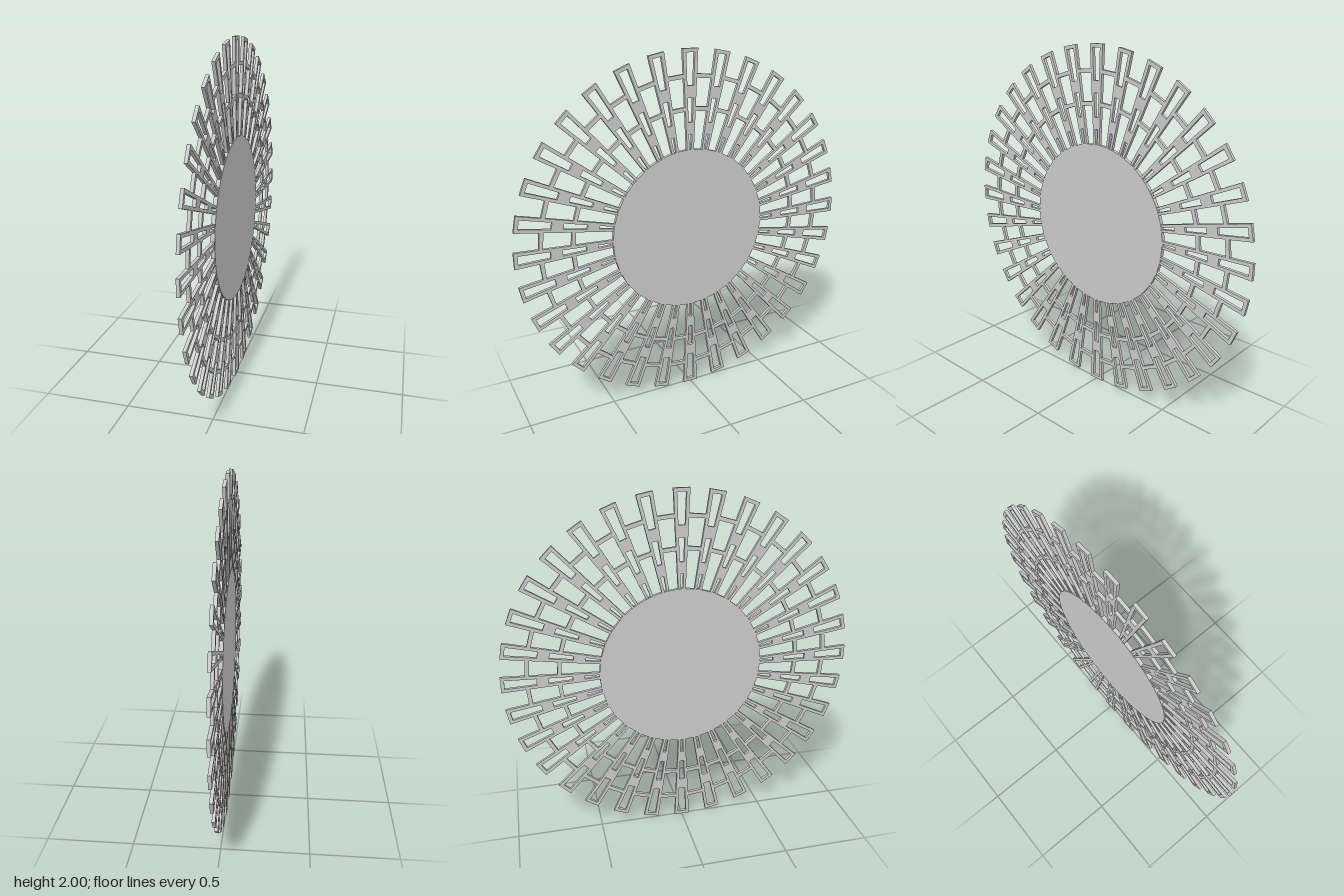
import * as THREE from 'three';

const ARMS = 32;
const STEP = (Math.PI * 2) / ARMS;
const ARM_DEPTH = 0.018;
const DISC_DEPTH = 0.022;
const DISC_RADIUS = 0.466;

const lerp = THREE.MathUtils.lerp;
const along = (r) => (r - 0.47) / 0.53;
// Half width of an arm, and of the slots in it, at radius r
const armHalf = (r) => lerp(0.021, 0.045, along(r));
const slotHalf = (r) => lerp(0.006, 0.026, along(r));

const taper = (half, r0, r1) => [
  [-half(r0), r0], [half(r0), r0], [half(r1), r1], [-half(r1), r1],
].map(([x, y]) => new THREE.Vector2(x, y));

// Extrudes a radial shape and turns it to face sideways, centred on x = 0
function plate(shape) {
  const geometry = new THREE.ExtrudeGeometry(shape, { depth: ARM_DEPTH, bevelEnabled: false });
  geometry.translate(0, 0, -ARM_DEPTH / 2);
  geometry.rotateY(Math.PI / 2);
  return geometry;
}

// Tapered arm with three slots
function armGeometry() {
  const shape = new THREE.Shape(taper(armHalf, 0.455, 1));
  for (const [r0, r1] of [[0.468, 0.55], [0.615, 0.745], [0.81, 0.98]]) {
    shape.holes.push(new THREE.Path(taper(slotHalf, r0, r1)));
  }
  return plate(shape);
}

// Bar filling the gap between the facing edges of two neighbouring arms
function barGeometry(r0, r1) {
  const edge = (r, side) => new THREE.Vector2(-side * armHalf(r), r)
    .rotateAround(new THREE.Vector2(), -side * STEP / 2);
  return plate(new THREE.Shape([edge(r0, -1), edge(r0, 1), edge(r1, 1), edge(r1, -1)]));
}

export function createModel() {
  const model = new THREE.Group();
  model.name = 'sunburstWallMirror';
  const material = new THREE.MeshStandardMaterial({ color: 0xcccccc });

  const body = new THREE.Group();
  body.name = 'sunburst';
  body.position.y = 1;
  model.add(body);

  const add = (name, geometry, angle = 0) => {
    const mesh = new THREE.Mesh(geometry, material);
    mesh.name = name;
    mesh.rotation.x = angle;
    body.add(mesh);
  };

  // Central round panel
  const disc = new THREE.CylinderGeometry(DISC_RADIUS, DISC_RADIUS, DISC_DEPTH, 96);
  disc.rotateZ(Math.PI / 2);
  add('mirrorDisc', disc);

  // Radiating arms and the two rings of bars joining them
  const arm = armGeometry();
  const innerBar = barGeometry(0.675, 0.697);
  const outerBar = barGeometry(0.848, 0.87);
  for (let i = 0; i < ARMS; i++) {
    add('arm', arm, i * STEP);
    add('innerBar', innerBar, (i + 0.5) * STEP);
    add('outerBar', outerBar, (i + 0.5) * STEP);
  }
  return model;
}
